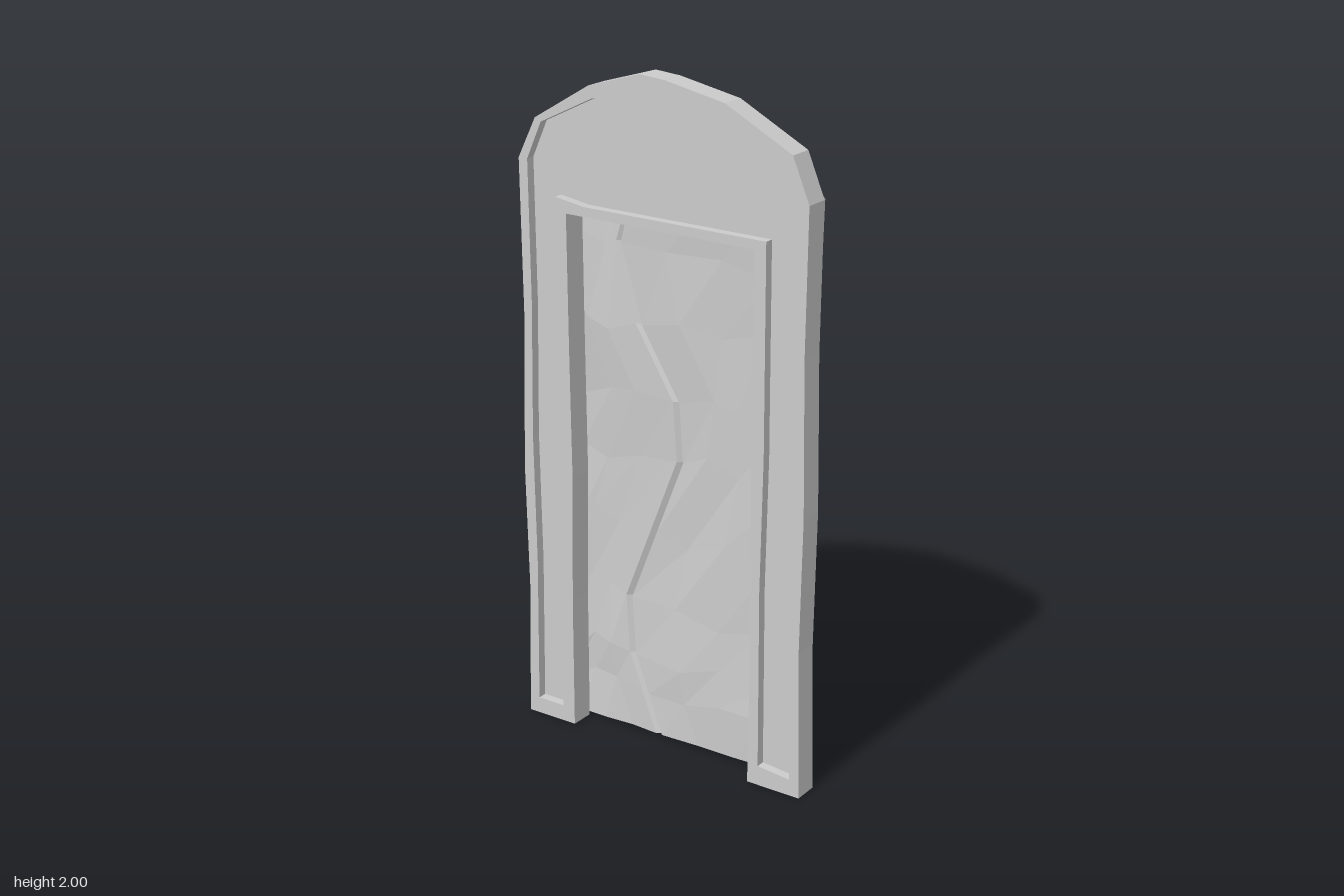
import * as THREE from 'three';

const material = new THREE.MeshStandardMaterial({ color: 0xcccccc, flatShading: true });

// Piecewise-linear lookup through [y, value] pairs.
function lookup(points, y) {
  for (let i = 1; i < points.length; i++) {
    const [y0, v0] = points[i - 1], [y1, v1] = points[i];
    if (y <= y1) return THREE.MathUtils.lerp(v0, v1, (y - y0) / (y1 - y0));
  }
  return points[points.length - 1][1];
}

// Repeatable noise in -1..1.
function noise(a, b) {
  const s = Math.sin(a * 127.1 + b * 311.7) * 43758.5453;
  return (s - Math.floor(s)) * 2 - 1;
}

const toPoints = (list) => list.map(([x, y]) => new THREE.Vector2(x, y));

// Outer arch with the doorway cut out of its foot (clockwise)
const frameOutline = toPoints([
  [-0.48, 0], [-0.47, 0.4], [-0.48, 0.8], [-0.468, 1.25], [-0.475, 1.72], [-0.415, 1.84],
  [-0.23, 1.95], [-0.06, 2], [0.02, 1.993], [0.21, 1.955], [0.42, 1.845], [0.472, 1.72],
  [0.467, 1.3], [0.475, 0.85], [0.468, 0.45], [0.478, 0],
  [0.305, 0], [0.31, 0.5], [0.303, 1], [0.307, 1.578], [-0.313, 1.582],
  [-0.31, 1.2], [-0.305, 0.8], [-0.312, 0.4], [-0.312, 0],
]);

// Sunken channel running up, over and down the face (counter-clockwise, as a hole)
const channelOutline = toPoints([
  [-0.445, 0.05], [-0.44, 0.5], [-0.447, 0.9], [-0.44, 1.3], [-0.445, 1.72], [-0.395, 1.83],
  [-0.22, 1.915], [-0.05, 1.962], [0.02, 1.957], [0.2, 1.915], [0.39, 1.83], [0.44, 1.72],
  [0.437, 1.3], [0.44, 0.8], [0.445, 0.05], [0.34, 0.06], [0.337, 0.6], [0.345, 1],
  [0.343, 1.605], [-0.25, 1.61], [-0.35, 1.625], [-0.345, 1.2], [-0.355, 0.85], [-0.345, 0.4], [-0.353, 0.05],
]).reverse();

function slab(name, z0, z1, holes) {
  const shape = new THREE.Shape(frameOutline);
  shape.holes = holes.map((points) => new THREE.Path(points));
  const geometry = new THREE.ExtrudeGeometry(shape, { depth: z1 - z0, bevelEnabled: false });
  geometry.translate(0, 0, z0);
  const mesh = new THREE.Mesh(geometry, material);
  mesh.name = name;
  return mesh;
}

// Crooked seam between the two door leaves, and the lean of the leaves
const seam = [[0, -0.045], [0.25, -0.145], [0.43, -0.16], [0.88, 0.01], [1.06, 0],
  [1.27, -0.125], [1.5, -0.195], [1.72, -0.135]];
const lean = [[0, -0.02], [0.43, -0.03], [0.88, -0.043], [1.3, -0.035], [1.72, -0.045]];
const rows = [0.01, 0.13, 0.25, 0.43, 0.65, 0.88, 1.06, 1.27, 1.5, 1.72];
const lastRow = rows.length - 1;

// One rough leaf: a subdivided box bent to the seam; side is +1 for the leaf on +x
function doorLeaf(name, side) {
  const columns = 4;
  const geometry = new THREE.BoxGeometry(1, 1, 1, columns, lastRow, 2);
  const p = geometry.attributes.position;
  // seam edge offsets for back, middle and front: both faces are chamfered into a groove
  const cuts = side > 0 ? [0.016, -0.002, 0.004] : [-0.004, 0.002, -0.018];
  for (let i = 0; i < p.count; i++) {
    const column = Math.round((p.getX(i) + 0.5) * columns);
    const row = Math.round((p.getY(i) + 0.5) * lastRow);
    const layer = Math.round(p.getZ(i) * 2);
    const t = side > 0 ? column / columns : 1 - column / columns; // 0 at the seam, 1 outside
    const inside = t > 0 && t < 1;

    const outer = side > 0 ? 0.44 + noise(row, 3) * 0.006 : -0.447 + noise(row, 5) * 0.006;
    const x = THREE.MathUtils.lerp(lookup(seam, rows[row]) + cuts[layer + 1], outer, t)
      + (inside ? noise(row, column * 2 + side) * 0.025 : 0);

    let y = rows[row];
    if (inside && row > 0 && row < lastRow) y += noise(column, row + side) * 0.05;
    if (row === lastRow && layer < 0) y -= 0.012;

    // towards the top the left leaf bows forward and the right one springs back
    const top = Math.max(0, (rows[row] - 1.27) / 0.45) ** 2;
    const warp = side > 0 ? 0.017 * (1 - t * t) + 0.012 * Math.sin(Math.PI * t) : -0.011 * (1 - t);
    const rough = inside ? noise(column + side * 7, row * 3) * 0.008 : 0;
    const z = lookup(lean, rows[row]) + warp * top + rough + layer * 0.015;
    p.setXYZ(i, x, y, Math.min(z, 0));
  }
  geometry.computeVertexNormals();
  const mesh = new THREE.Mesh(geometry, material);
  mesh.name = name;
  return mesh;
}

export function createModel() {
  const model = new THREE.Group();
  model.name = 'archedDoorway';

  const frame = new THREE.Group();
  frame.name = 'frame';
  frame.add(slab('framePlate', -0.005, 0.042, []), slab('frameRim', 0.042, 0.07, [channelOutline]));

  const door = new THREE.Group();
  door.name = 'crackedDoor';
  door.add(doorLeaf('leftDoorLeaf', 1), doorLeaf('rightDoorLeaf', -1));

  model.add(frame, door);
  return model;
}
